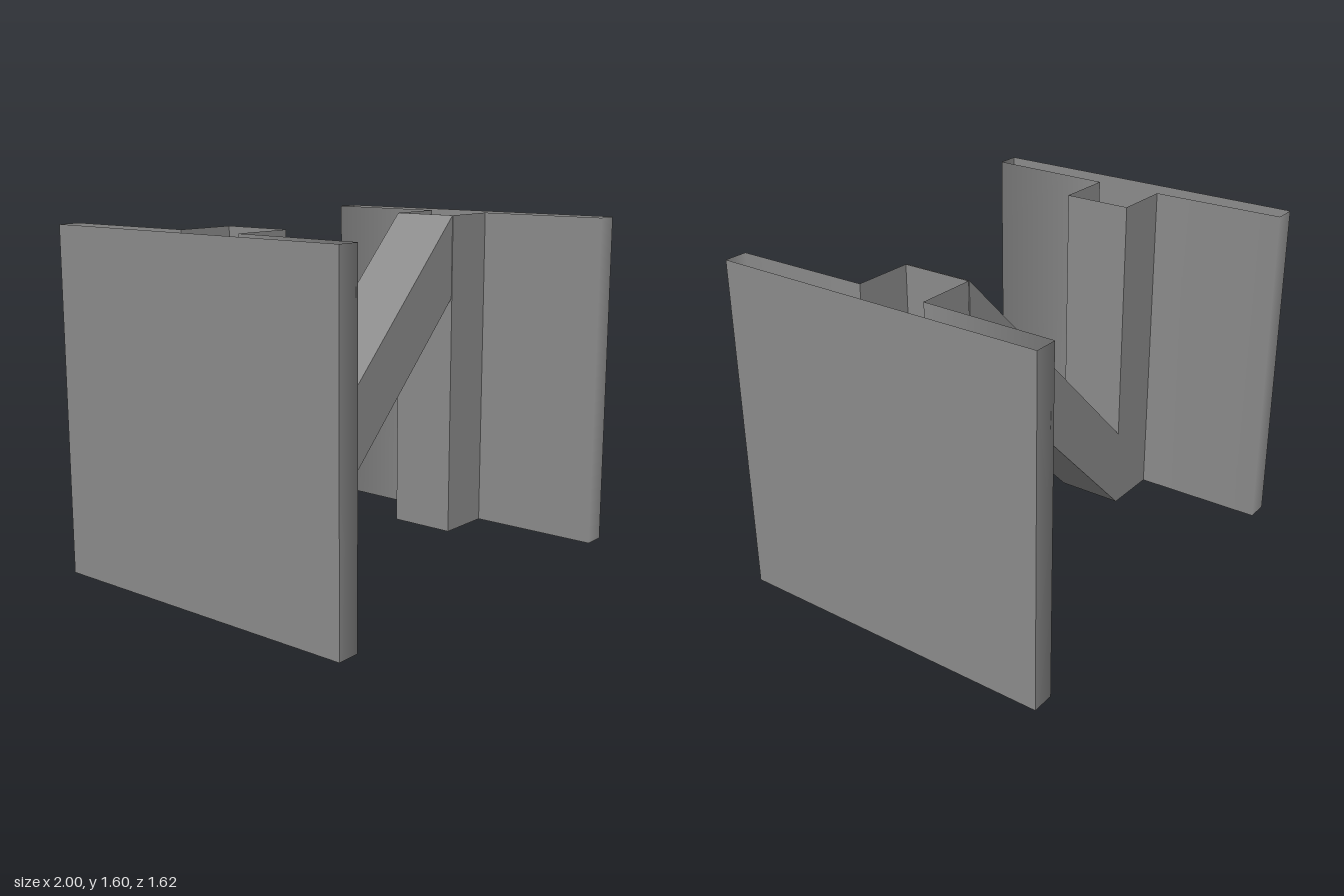
import * as THREE from 'three';

const HEIGHT = 1.6;
const WEB = 0.165; // half depth of webs and brace

const grey = new THREE.MeshStandardMaterial({ color: 0x8c8c8c, side: THREE.DoubleSide });
grey.name = 'steelGrey';

// Upright open wall strips; each segment is [xa, za, xb, zb, normalA, normalB]
function walls(name, segments) {
  const pos = [], nor = [], idx = [];
  for (const [xa, za, xb, zb, na, nb] of segments) {
    const i = pos.length / 3;
    pos.push(xa, 0, za, xb, 0, zb, xb, HEIGHT, zb, xa, HEIGHT, za);
    for (const [nx, nz] of [na, nb, nb, na]) {
      const l = Math.hypot(nx, nz);
      nor.push(nx / l, 0, nz / l);
    }
    // Keep the winding in agreement with the outward normal
    const facing = -(zb - za) * (na[0] + nb[0]) + (xb - xa) * (na[1] + nb[1]);
    if (facing > 0) idx.push(i, i + 1, i + 2, i, i + 2, i + 3);
    else idx.push(i, i + 2, i + 1, i, i + 3, i + 2);
  }
  const g = new THREE.BufferGeometry();
  g.setAttribute('position', new THREE.Float32BufferAttribute(pos, 3));
  g.setAttribute('normal', new THREE.Float32BufferAttribute(nor, 3));
  g.setIndex(idx);
  const mesh = new THREE.Mesh(g, grey);
  mesh.name = name;
  return mesh;
}

// T-section post, open at top and bottom: s is the side (+1 or -1)
function post(name, s, front, back) {
  const outer = s, rim = 0.89 * s, root = 0.88 * s, tip = 0.6 * s;
  const inward = [-s, 0];
  const group = new THREE.Group();
  group.name = name;

  // Wide flange with softly shaded inner edges
  const flange = [[outer, front, outer, back, [s, 0], [s, 0]]];
  // Narrow web reaching towards the brace
  const web = [[tip, WEB, tip, -WEB, inward, inward]];
  for (const [z, d] of [[front, 1], [back, -1]]) {
    flange.push([outer, z, rim, z, [0, d], [-s, d]]);
    flange.push([rim, z, root, d * WEB, [-s, d], inward]);
    web.push([root, d * WEB, tip, d * WEB, [0, d], [0, d]]);
  }
  group.add(walls('flange', flange), walls('web', web));
  return group;
}

// Sloping brace between the two webs
function brace() {
  const shape = new THREE.Shape();
  shape.moveTo(-0.6, 0);
  shape.lineTo(0.595, 1.195);
  shape.lineTo(0.595, HEIGHT);
  shape.lineTo(-0.6, 0.4);
  shape.closePath();
  const g = new THREE.ExtrudeGeometry(shape, { depth: 2 * WEB, bevelEnabled: false });
  g.translate(0, 0, -WEB);
  const mesh = new THREE.Mesh(g, grey);
  mesh.name = 'diagonalBrace';
  return mesh;
}

export function createModel() {
  const model = new THREE.Group();
  model.name = 'bracedFrame';
  model.add(
    post('leftPost', 1, 0.81, -0.785),
    post('rightPost', -1, 0.785, -0.81),
    brace()
  );
  return model;
}
